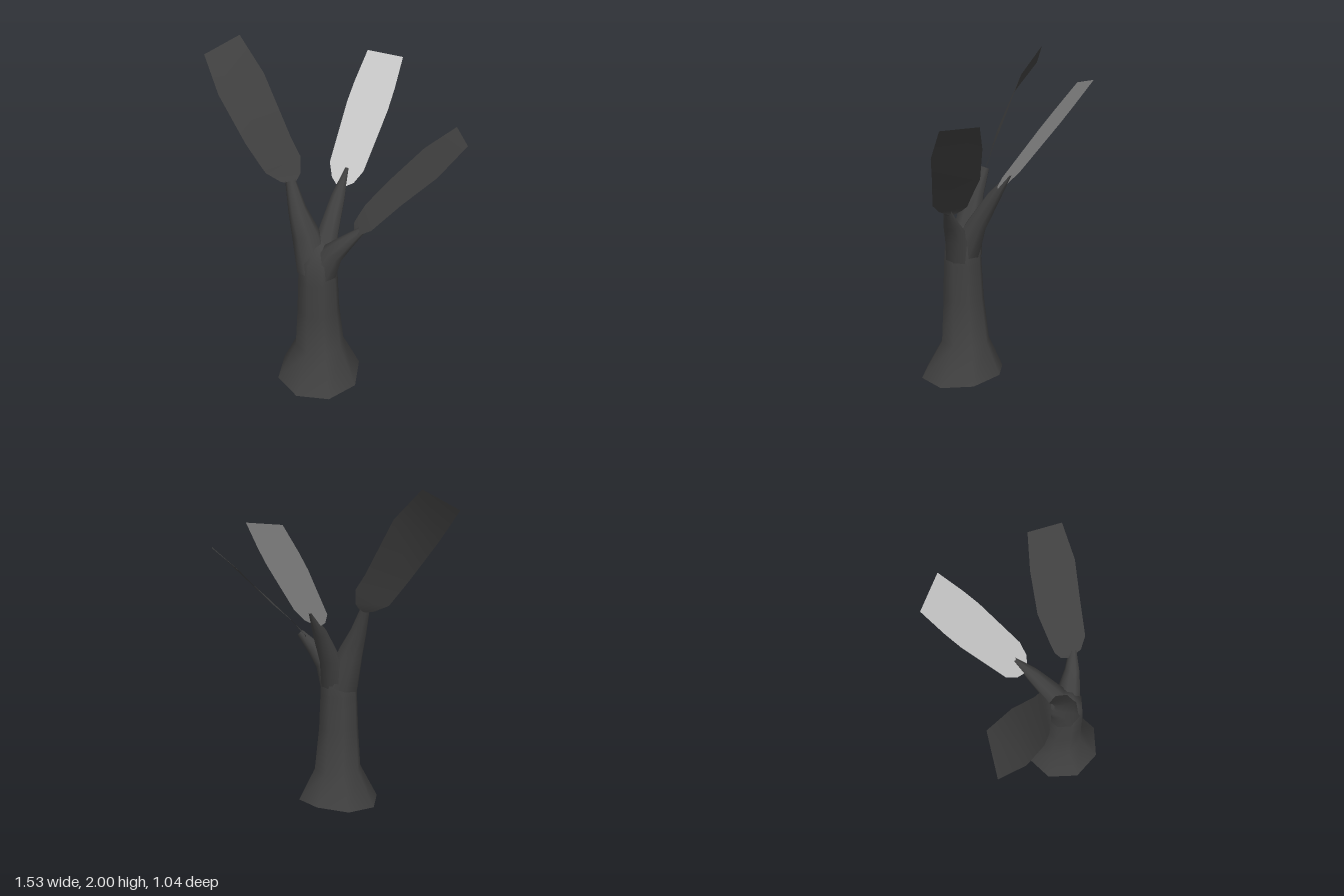
import * as THREE from 'three';

const bark = new THREE.MeshStandardMaterial({ name: 'charcoal', color: 0x404040, side: THREE.DoubleSide });
const pale = new THREE.MeshStandardMaterial({ name: 'light grey', color: 0xc8c8c8, side: THREE.DoubleSide });
const SIDES = 8;

function surface(name, points, index, material) {
  const geometry = new THREE.BufferGeometry().setFromPoints(points);
  geometry.setIndex(index);
  geometry.computeVertexNormals();
  const mesh = new THREE.Mesh(geometry, material);
  mesh.name = name;
  return mesh;
}

// Eight-sided open tube through [x, y, z, radius] sections
function limb(name, sections, upright) {
  const up = new THREE.Vector3(0, 1, 0);
  const centres = sections.map(([x, y, z]) => new THREE.Vector3(x, y, z));
  const points = [], index = [];
  sections.forEach(([, , , r], i) => {
    const turn = new THREE.Quaternion();
    if (!upright) {
      const dir = centres[Math.min(i + 1, centres.length - 1)].clone().sub(centres[Math.max(i - 1, 0)]);
      turn.setFromUnitVectors(up, dir.normalize());
    }
    for (let j = 0; j < SIDES; j++) {
      const a = (j / SIDES) * Math.PI * 2;
      const p = new THREE.Vector3(Math.sin(a) * r, 0, Math.cos(a) * r).applyQuaternion(turn).add(centres[i]);
      // the back of the foot lifts slightly
      if (upright && i === 0) p.y += 0.04 * ((1 - Math.cos(a)) / 2) ** 4;
      points.push(p);
      if (i > 0) {
        const k = (j + 1) % SIDES, lo = (i - 1) * SIDES, hi = i * SIDES;
        index.push(lo + j, lo + k, hi + k, lo + j, hi + k, hi + j);
      }
    }
  });
  return surface(name, points, index, bark);
}

// Thin leaf from rows of left and right edge points, base to tip
function leaf(name, rows, material) {
  const points = [], index = [];
  rows.forEach(([a, b, c, d, e, f], i) => {
    points.push(new THREE.Vector3(a, b, c), new THREE.Vector3(d, e, f));
    const n = i * 2;
    if (i > 0) index.push(n - 2, n - 1, n + 1, n - 2, n + 1, n);
  });
  return surface(name, points, index, material);
}

export function createModel() {
  const group = new THREE.Group();
  group.name = 'tree';

  // Trunk with flared foot and domed top under the branches
  group.add(limb('trunk', [
    [0.035, 0, 0.26, 0.26], [0.03, 0.23, 0.24, 0.15], [0.03, 0.5, 0.25, 0.127],
    [0.032, 0.72, 0.253, 0.118], [0.033, 0.85, 0.25, 0.11], [0.04, 0.94, 0.235, 0.06], [0.04, 0.96, 0.23, 0.001],
  ], true));

  // Branches
  group.add(limb('rightBranch', [
    [0.01, 0.78, 0.25, 0.108], [-0.05, 0.99, 0.25, 0.08], [-0.11, 1.13, 0.24, 0.052], [-0.17, 1.28, 0.21, 0.03],
  ]));
  group.add(limb('leftBranch', [
    [0.055, 0.76, 0.25, 0.095], [0.125, 0.91, 0.245, 0.066], [0.2, 0.995, 0.23, 0.045], [0.285, 1.09, 0.2, 0.022],
  ]));
  group.add(limb('backBranch', [
    [0.04, 0.78, 0.24, 0.1], [0.04, 0.97, 0.15, 0.062], [0.037, 1.15, 0.035, 0.042], [0.035, 1.29, -0.07, 0.01],
  ]));

  // Leaves
  group.add(leaf('rightLeaf', [
    [-0.22, 1.27, 0.235, -0.145, 1.26, 0.21],
    [-0.305, 1.31, 0.255, -0.13, 1.32, 0.165],
    [-0.34, 1.355, 0.26, -0.145, 1.41, 0.14],
    [-0.43, 1.47, 0.265, -0.21, 1.5, 0.13],
    [-0.62, 1.71, 0.235, -0.41, 1.83, 0.085],
    [-0.77, 1.89, 0.15, -0.6, 2.0, 0.035],
  ], bark));
  group.add(leaf('leftLeaf', [
    [0.21, 1.09, 0.15, 0.24, 1.06, 0.2],
    [0.215, 1.12, 0.11, 0.3, 1.09, 0.245],
    [0.24, 1.18, 0.07, 0.37, 1.14, 0.245],
    [0.33, 1.31, -0.04, 0.5, 1.295, 0.16],
    [0.48, 1.5, -0.14, 0.655, 1.46, 0.065],
    [0.63, 1.635, -0.21, 0.76, 1.62, -0.055],
  ], bark));
  // The back leaf is flat: [left x, right x, fraction along its length]
  group.add(leaf('backLeaf', [
    [0, 0.06, 0], [-0.04, 0.105, 0.04], [-0.085, 0.14, 0.14],
    [-0.108, 0.16, 0.6], [-0.105, 0.157, 0.76], [-0.09, 0.142, 1],
  ].map(([l, r, t]) => {
    const y = 1.205 + 0.63 * t, z = -0.005 - 0.515 * t;
    return [l, y, z, r, y, z];
  }), pale));

  return group;
}
